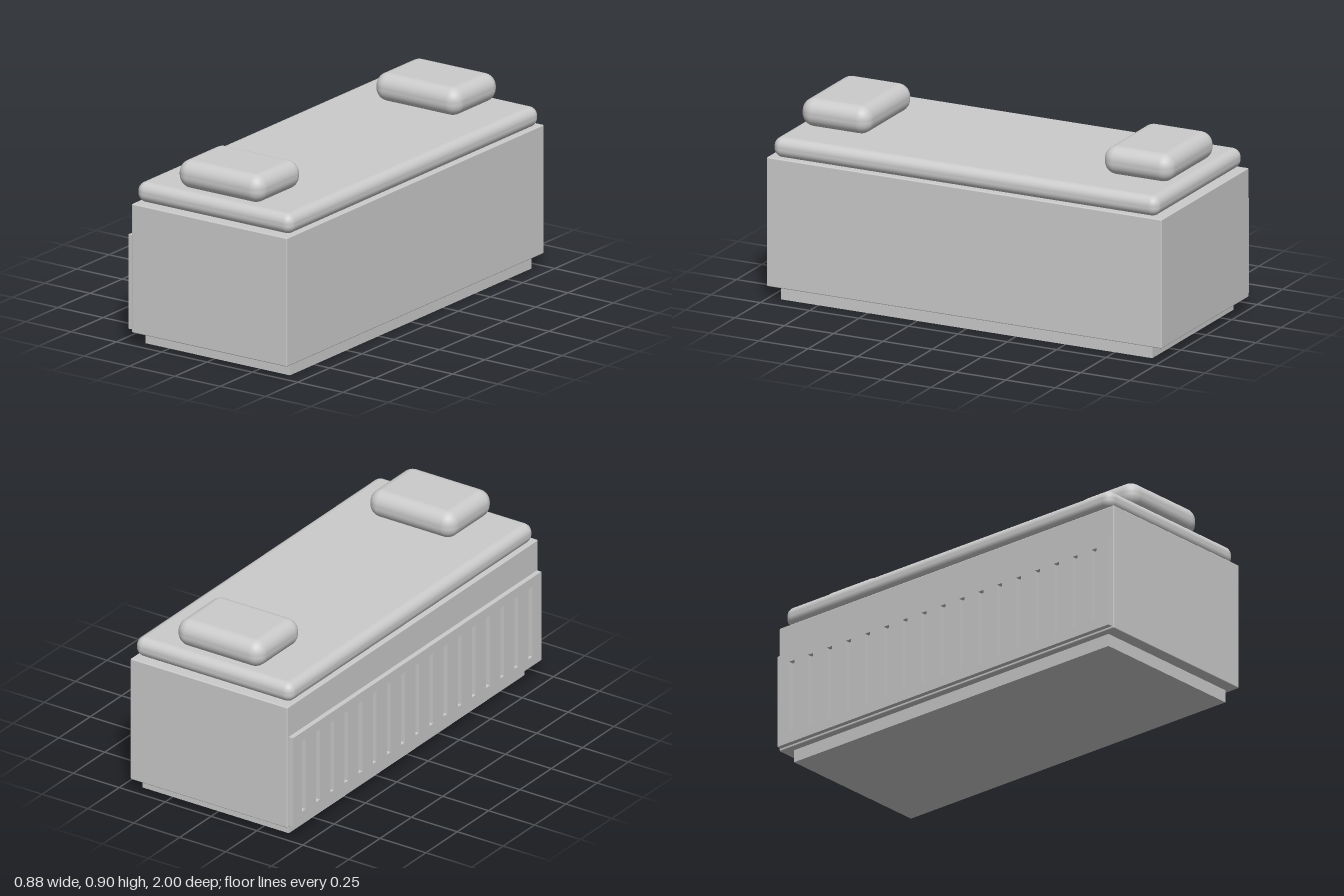
import * as THREE from 'three';
import { RoundedBoxGeometry } from 'three/addons/geometries/RoundedBoxGeometry.js';

const material = new THREE.MeshStandardMaterial({ color: 0xcccccc });
const CX = 0.012; // bench body sits slightly off centre because of the side panel

function add(group, name, geometry, x, y, z) {
  const mesh = new THREE.Mesh(geometry, material);
  mesh.name = name;
  mesh.position.set(x, y, z);
  group.add(mesh);
  return mesh;
}

// Soft box: rounded edges of radius r, top bulging upward by rise
function cushion(w, h, d, r, rise) {
  const k = 6, m = 6, n = 2 * k + m; // k steps per rounded edge, m across the flat
  const geo = new THREE.BoxGeometry(w, h, d, n, n, n);
  const pos = geo.attributes.position, nor = geo.attributes.normal;
  const size = [w, h, d];
  for (let v = 0; v < pos.count; v++) {
    const inner = [], dir = new THREE.Vector3();
    size.forEach((s, a) => {
      const i = Math.round((pos.getComponent(v, a) / s + 0.5) * n) - n / 2;
      const half = s / 2 - r, steps = Math.abs(i) - m / 2;
      inner.push(steps >= 0 ? Math.sign(i) * half : (i / (m / 2)) * half);
      dir.setComponent(a, steps > 0 ? Math.sign(i) * Math.tan((steps / k) * Math.PI / 4) : 0);
    });
    dir.normalize();
    const u = inner[0] / (w / 2 - r), t = inner[2] / (d / 2 - r);
    const lift = dir.y > 0 ? rise * (1 - u * u) * (1 - t * t) : 0;
    pos.setXYZ(v, inner[0] + dir.x * r, inner[1] + dir.y * r + lift, inner[2] + dir.z * r);
    nor.setXYZ(v, dir.x, dir.y, dir.z);
  }
  return geo;
}

// Thin panel with a row of vertical slots cut through it
function slottedPanel(length, height, thickness) {
  const rect = (path, x, y, w, h) => {
    path.moveTo(x - w / 2, y - h / 2);
    path.lineTo(x + w / 2, y - h / 2);
    path.lineTo(x + w / 2, y + h / 2);
    path.lineTo(x - w / 2, y + h / 2);
    path.closePath();
    return path;
  };
  const shape = rect(new THREE.Shape(), 0, 0, length, height);
  const count = 17, spacing = 0.113;
  for (let i = 0; i < count; i++) {
    shape.holes.push(rect(new THREE.Path(), (i - (count - 1) / 2) * spacing, 0, 0.03, 0.355));
  }
  const geo = new THREE.ExtrudeGeometry(shape, { depth: thickness, bevelEnabled: false });
  return geo.rotateY(-Math.PI / 2); // faces -x
}

export function createModel() {
  const model = new THREE.Group();
  model.name = 'bench';

  // Recessed base and main box
  add(model, 'plinth', new THREE.BoxGeometry(0.798, 0.062, 1.88), 0.016, 0.031, 0);
  add(model, 'body', new RoundedBoxGeometry(0.856, 0.61, 2, 2, 0.005), CX, 0.365, 0);

  // Ventilation panel on the right side
  add(model, 'slottedPanel', slottedPanel(1.98, 0.447, 0.025), -0.415, 0.295, 0);

  // Seat pad and a pillow at each end
  add(model, 'seatPad', cushion(0.856, 0.095, 1.95, 0.042, 0.008), CX, 0.7185, 0);
  for (const side of [1, -1]) {
    add(model, side > 0 ? 'frontPillow' : 'backPillow',
      cushion(0.468, 0.132, 0.35, 0.06, 0.008), CX, 0.831, side * 0.765);
  }
  return model;
}
